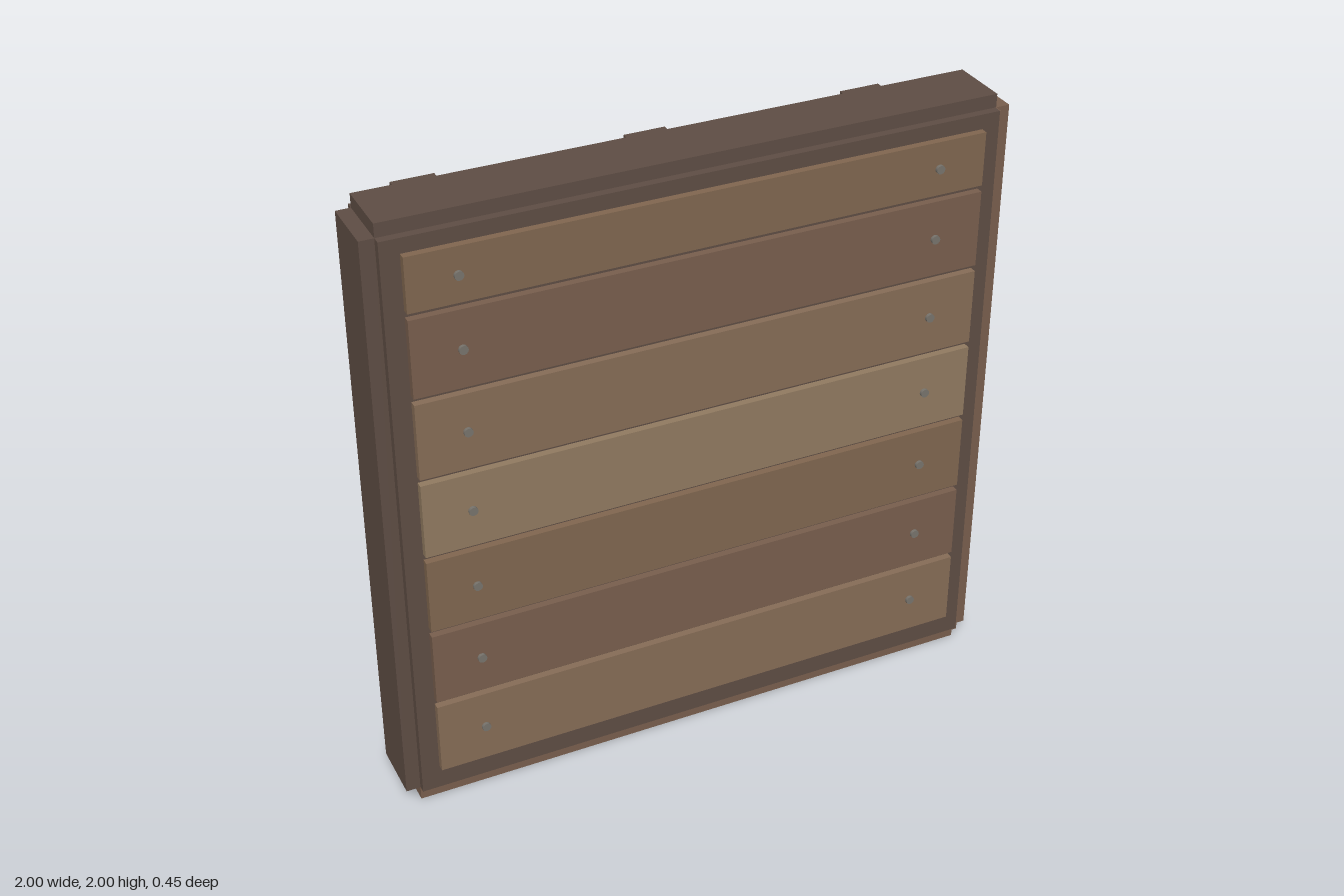
import * as THREE from 'three';

const DARK = 0x5e4d44, BROWN = 0x785e4d, MID = 0x80664f, TAN = 0x866c56, PALE = 0x907a60, STEEL = 0x77736c;

export function createModel() {
  const model = new THREE.Group();
  const materials = {};
  const mat = (color) => (materials[color] ??= new THREE.MeshStandardMaterial({ color }));

  // Box given by its extents along each axis
  const box = (name, color, [x0, x1], [y0, y1], [z0, z1]) => {
    const mesh = new THREE.Mesh(new THREE.BoxGeometry(x1 - x0, y1 - y0, z1 - z0), mat(color));
    mesh.position.set((x0 + x1) / 2, (y0 + y1) / 2, (z0 + z1) / 2);
    mesh.name = name;
    model.add(mesh);
  };

  // Thick core panel, with lighter skins on its left and bottom edges
  const core = [-0.055, 0.19], rim = [-0.03, 0.164];
  box('corePanel', DARK, [-0.955, 0.952], [0.05, 1.957], core);
  box('leftEdgeSkin', BROWN, [0.952, 0.955], [0.047, 1.957], core);
  box('bottomEdgeSkin', BROWN, [-0.955, 0.952], [0.047, 0.05], core);

  // Narrower rim boards around the core
  box('topRim', DARK, [-0.955, 0.955], [1.957, 2], rim);
  box('bottomRim', BROWN, [-0.955, 0.955], [0, 0.047], rim);
  box('rightRim', DARK, [-1, -0.955], [0.047, 1.957], rim);
  box('leftRim', BROWN, [0.955, 1], [0.047, 1.957], rim);

  // Front planks, each held by a nail at either end
  const nailGeometry = new THREE.CylinderGeometry(0.014, 0.014, 0.02, 12).rotateX(Math.PI / 2);
  [TAN, BROWN, MID, PALE, TAN, BROWN, MID].forEach((color, i) => {
    const y0 = 0.133 + i * 0.2675;
    const y1 = Math.min(y0 + 0.247, 1.91);
    box('plank', color, [-0.897, 0.895], [y0, y1], [0.19, 0.213]);
    for (const x of [-0.747, 0.743]) {
      const nail = new THREE.Mesh(nailGeometry, mat(STEEL));
      nail.name = 'nail';
      nail.position.set(x, (y0 + y1) / 2, 0.213);
      model.add(nail);
    }
  });

  // Upright battens on the back
  for (const x of [-0.717, -0.002, 0.715])
    box('backBatten', DARK, [x - 0.066, x + 0.066], [0.095, 1.91], [-0.223, -0.055]);

  return model;
}
